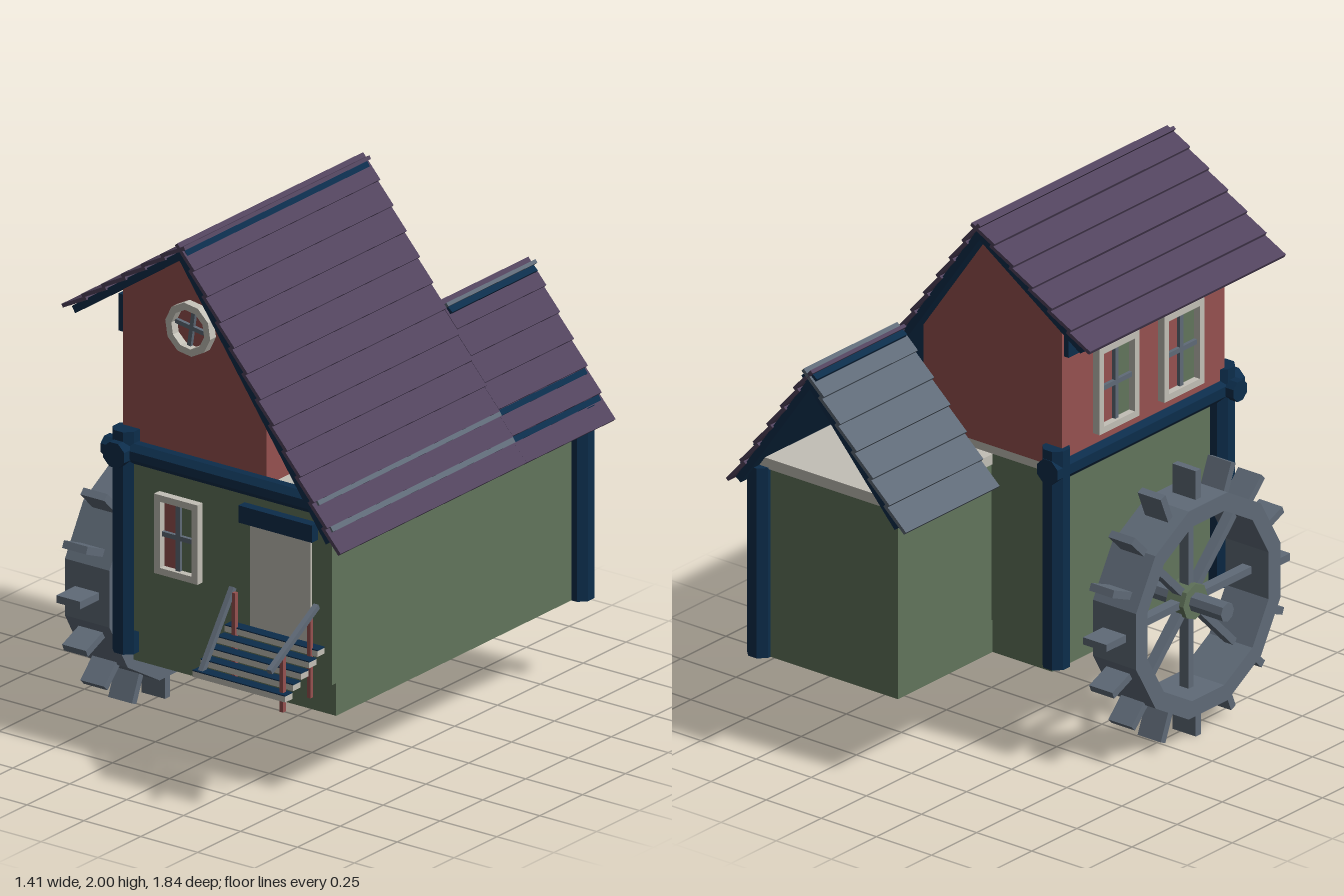
import * as THREE from 'three';

const mat = (name, color) => Object.assign(new THREE.MeshStandardMaterial({ color, flatShading: true }), { name });
const GREEN = mat('green wall', 0x61745b);
const RED = mat('red plaster', 0x96514f);
const NAVY = mat('navy timber', 0x0c2d4b);
const PURPLE = mat('purple shingle', 0x51435d);
const SLATE = mat('slate wood', 0x5f6a77);
const CREAM = mat('off-white trim', 0xc2bfb6);

function add(parent, name, geo, material, x = 0, y = 0, z = 0) {
  const m = new THREE.Mesh(geo, material);
  m.name = name;
  m.position.set(x, y, z);
  parent.add(m);
  return m;
}
// box given by its limits
const box = (p, name, material, x0, x1, y0, y1, z0, z1) =>
  add(p, name, new THREE.BoxGeometry(x1 - x0, y1 - y0, z1 - z0), material, (x0 + x1) / 2, (y0 + y1) / 2, (z0 + z1) / 2);
// bar with a square section between two points
function bar(p, name, material, a, b, w) {
  const va = new THREE.Vector3(...a), vb = new THREE.Vector3(...b);
  const m = add(p, name, new THREE.BoxGeometry(w, w, va.distanceTo(vb)), material);
  m.position.copy(va).add(vb).multiplyScalar(0.5);
  m.lookAt(vb);
  return m;
}
// eight-sided timber along an axis
function timber(p, name, axis, length, r, x, y, z) {
  const g = new THREE.CylinderGeometry(r, r, length, 8).rotateY(Math.PI / 8);
  if (axis === 'x') g.rotateZ(Math.PI / 2);
  if (axis === 'z') g.rotateX(Math.PI / 2);
  return add(p, name, g, NAVY, x, y, z);
}
const polygon = (n, r, turn = 0) => Array.from({ length: n }, (_, i) => {
  const a = turn + (i / n) * Math.PI * 2;
  return new THREE.Vector2(r * Math.cos(a), r * Math.sin(a));
});
const rect = (w, h) => [[-w, -h], [w, -h], [w, h], [-w, h]].map(([x, y]) => new THREE.Vector2(x / 2, y / 2));
function frame(outer, inner, depth) {
  const s = new THREE.Shape(outer);
  s.holes.push(new THREE.Path(inner));
  return new THREE.ExtrudeGeometry(s, { depth, bevelEnabled: false });
}

// window facing +z: frame, two panes and a mullion cross
function squareWindow(w, h) {
  const g = new THREE.Group();
  g.name = 'window';
  const t = 0.025, iw = w - 2 * t, ih = h - 2 * t;
  add(g, 'windowFrame', frame(rect(w, h), rect(iw, ih), 0.032), CREAM);
  box(g, 'paneLeft', RED, -iw / 2, 0, -ih / 2, ih / 2, 0, 0.006);
  box(g, 'paneRight', GREEN, 0, iw / 2, -ih / 2, ih / 2, 0, 0.006);
  box(g, 'mullionUpright', SLATE, -0.009, 0.009, -ih / 2, ih / 2, 0.006, 0.02);
  box(g, 'mullionCross', SLATE, -iw / 2, iw / 2, -0.009, 0.009, 0.006, 0.02);
  return g;
}

// roof slope: navy underlay and overlapping tilted planks, from ridge to eave
function slope(p, name, material, [x0, y0], [x1, y1], n, z0, z1) {
  const g = new THREE.Group();
  g.name = name;
  p.add(g);
  const dx = x1 - x0, dy = y1 - y0, len = Math.hypot(dx, dy), s = Math.sign(dx);
  const nx = (-dy / len) * s, ny = (dx / len) * s, ang = Math.atan2(dy, dx), d = z1 - z0, zc = (z0 + z1) / 2;
  const place = (nm, m, t, off, l, th, tilt, depth) => {
    const b = add(g, nm, new THREE.BoxGeometry(l, th, depth), m, x0 + dx * t + nx * off, y0 + dy * t + ny * off, zc);
    b.rotation.z = ang + tilt * s;
  };
  place('underlay', NAVY, 0.485, -0.037, len * 0.95, 0.028, 0, d - 0.02);
  for (let i = 0; i < n; i++) place('plank', material, (i + 0.5) / n, -0.014, (len / n) * 1.12, 0.014, 0.12, d);
  return g;
}

export function createModel() {
  const root = new THREE.Group();
  root.name = 'watermill';

  // lower storey
  box(root, 'foundation', GREEN, -0.29, 0.6, 0.325, 0.45, -0.325, 0.575);
  box(root, 'lowerWalls', GREEN, -0.3, 0.603, 0.45, 1.09, -0.33, 0.603);
  box(root, 'annexWalls', GREEN, -0.02, 0.6, 0.325, 1.05, -0.85, -0.32);
  box(root, 'annexFloor', CREAM, -0.025, 0.603, 1.05, 1.09, -0.86, -0.33);
  box(root, 'atticFloor', CREAM, -0.3, 0.57, 1.09, 1.12, -0.33, 0.585);

  // upper storey with gable
  const gable = new THREE.Shape([[-0.34, 1.12], [0.29, 1.12], [0.29, 1.53], [0, 1.94], [-0.34, 1.71]].map(q => new THREE.Vector2(...q)));
  add(root, 'upperWalls', new THREE.ExtrudeGeometry(gable, { depth: 0.9, bevelEnabled: false }), RED, 0, 0, -0.33);
  box(root, 'wallPlate', NAVY, -0.36, -0.335, 1.55, 1.69, -0.32, 0.57);

  // posts and beams
  timber(root, 'frontPost', 'y', 0.84, 0.051, -0.313, 0.78, 0.585);
  timber(root, 'backPost', 'y', 0.84, 0.051, -0.313, 0.78, -0.33);
  timber(root, 'annexPost', 'y', 0.73, 0.051, 0.605, 0.69, -0.845);
  timber(root, 'frontBeam', 'x', 0.97, 0.041, 0.09, 1.118, 0.59);
  timber(root, 'sideBeam', 'z', 1.04, 0.05, -0.313, 1.118, 0.14);

  // roofs
  slope(root, 'roofRight', PURPLE, [0, 2], [0.7, 1.0], 12, -0.4, 0.685);
  slope(root, 'roofLeft', PURPLE, [0, 2], [-0.52, 1.65], 6, -0.4, 0.685);
  slope(root, 'annexRoofRight', PURPLE, [0.335, 1.52], [0.7, 1.0], 6, -0.92, -0.4);
  slope(root, 'annexRoofLeft', SLATE, [0.335, 1.52], [-0.11, 1.02], 6, -0.92, -0.4);
  for (const y of [1.158, 1.072]) {
    for (const [m, z0, z1] of [[SLATE, -0.4, 0.665], [NAVY, -0.9, -0.4]]) {
      const strip = add(root, 'roofStrip', new THREE.BoxGeometry(0.022, 0.008, z1 - z0), m, 0.7 * (2 - y) - 0.004, y - 0.003, (z0 + z1) / 2);
      strip.rotation.z = -0.96;
    }
  }

  // windows
  const front = squareWindow(0.19, 0.3);
  front.position.set(-0.06, 0.853, 0.602);
  root.add(front);
  for (const z of [-0.05, 0.31]) {
    const w = squareWindow(0.22, 0.33);
    w.position.set(-0.339, 1.365, z);
    w.rotation.y = -Math.PI / 2;
    root.add(w);
  }
  const round = new THREE.Group();
  round.name = 'roundWindow';
  add(round, 'roundFrame', frame(polygon(10, 0.1), polygon(10, 0.073), 0.035), CREAM);
  for (const a of [0, Math.PI / 2]) box(round, 'roundMullion', SLATE, -0.074, 0.074, -0.008, 0.008, 0, 0.015).rotation.z = a;
  round.position.set(-0.03, 1.642, 0.569);
  round.rotation.z = -0.15;
  root.add(round);

  // door
  box(root, 'door', CREAM, 0.25, 0.515, 0.59, 1.0, 0.6, 0.612);
  box(root, 'lintel', NAVY, 0.22, 0.542, 0.985, 1.05, 0.6, 0.64);

  // steps with dark treads
  for (let i = 0; i < 5; i++) {
    const y = 0.46 + i * 0.028, z = 0.835 - i * 0.047;
    box(root, 'step', CREAM, 0.178, 0.585, y, y + 0.022, z - 0.025, z + 0.018);
    box(root, 'tread', NAVY, 0.178, 0.585, y + 0.022, y + 0.026, z - 0.025, z + 0.018);
  }
  // handrails
  bar(root, 'railRight', SLATE, [0.563, 0.59, 0.915], [0.553, 0.745, 0.625], 0.02);
  bar(root, 'railLeft', SLATE, [0.205, 0.48, 0.835], [0.207, 0.742, 0.655], 0.02);
  for (const [x, z, y] of [[0.557, 0.83, 0.63], [0.553, 0.665, 0.73], [0.222, 0.665, 0.73]])
    box(root, 'railPost', RED, x - 0.008, x + 0.008, 0.412, y, z - 0.008, z + 0.008);

  // water wheel, built facing z and turned to face -x
  const wheel = new THREE.Group();
  wheel.name = 'waterWheel';
  const turn = Math.PI / 12;
  add(wheel, 'rim', frame(polygon(12, 0.414, turn), polygon(12, 0.347, turn), 0.195), SLATE, 0, 0, -0.0975);
  for (let i = 0; i < 16; i++) {
    const a = (i * Math.PI) / 8;
    const arm = new THREE.Group();
    arm.name = 'wheelArm';
    arm.rotation.z = a;
    box(arm, 'paddle', SLATE, 0.385, 0.51, -0.014, 0.014, -0.0525, 0.0525);
    if (i % 2 === 0) box(arm, 'spoke', SLATE, 0.03, 0.36, -0.014, 0.014, -0.02, 0.02);
    wheel.add(arm);
  }
  add(wheel, 'hub', new THREE.CylinderGeometry(0.068, 0.068, 0.08, 8).rotateX(Math.PI / 2), GREEN);
  add(wheel, 'axle', new THREE.CylinderGeometry(0.036, 0.036, 0.42, 8).rotateX(Math.PI / 2), SLATE, 0, 0, -0.025);
  wheel.rotation.y = -Math.PI / 2;
  wheel.position.set(-0.52, 0.51, 0.14);
  root.add(wheel);

  return root;
}
